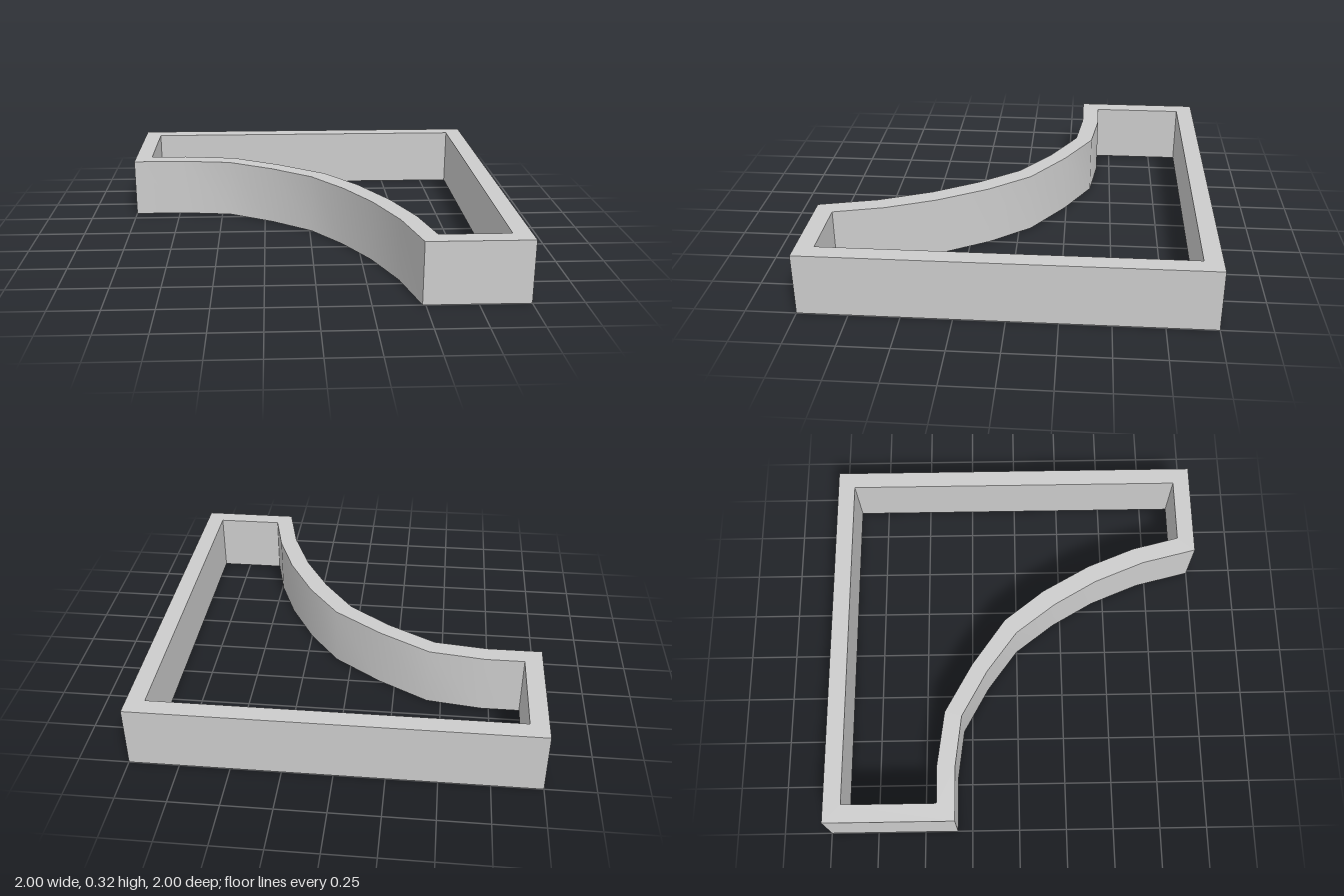
import * as THREE from 'three';
import { toCreasedNormals } from 'three/addons/utils/BufferGeometryUtils.js';

const HEIGHT = 0.316;
const HALF = 1;      // half of the footprint
const INNER = 0.908; // half of the footprint inside the walls

// Plan curves as [x, z], from the left end to the front end of the curved wall
const outerCurve = [
  [-0.72, -0.328], [-0.452, -0.295], [-0.207, -0.16], [0.01, 0],
  [0.17, 0.21], [0.302, 0.437], [0.412, 0.705], [0.485, 1],
];
const innerCurve = [
  [-0.712, -0.422], [-0.428, -0.384], [-0.168, -0.24], [0.084, -0.062],
  [0.25, 0.15], [0.394, 0.404], [0.496, 0.655], [0.56, INNER],
];

// Closes a curve around the square back corner of the footprint
function outline(curve, half) {
  const points = [[-half, curve[0][1]], ...curve, [half, half], [half, -half], [-half, -half]];
  return points.map(([x, z]) => new THREE.Vector2(x, -z));
}

export function createModel() {
  const group = new THREE.Group();
  group.name = 'curvedFrame';
  const grey = new THREE.MeshStandardMaterial({ color: 0xcccccc });
  grey.name = 'grey';

  // One continuous wall, open at top and bottom
  const shape = new THREE.Shape(outline(outerCurve, HALF));
  shape.holes.push(new THREE.Path(outline(innerCurve, INNER)));
  const wall = new THREE.ExtrudeGeometry(shape, { depth: HEIGHT, bevelEnabled: false });
  wall.rotateX(-Math.PI / 2);

  // Smooth along the curve, sharp at the corners
  const mesh = new THREE.Mesh(toCreasedNormals(wall, Math.PI / 5), grey);
  mesh.name = 'frameWall';
  group.add(mesh);
  return group;
}
